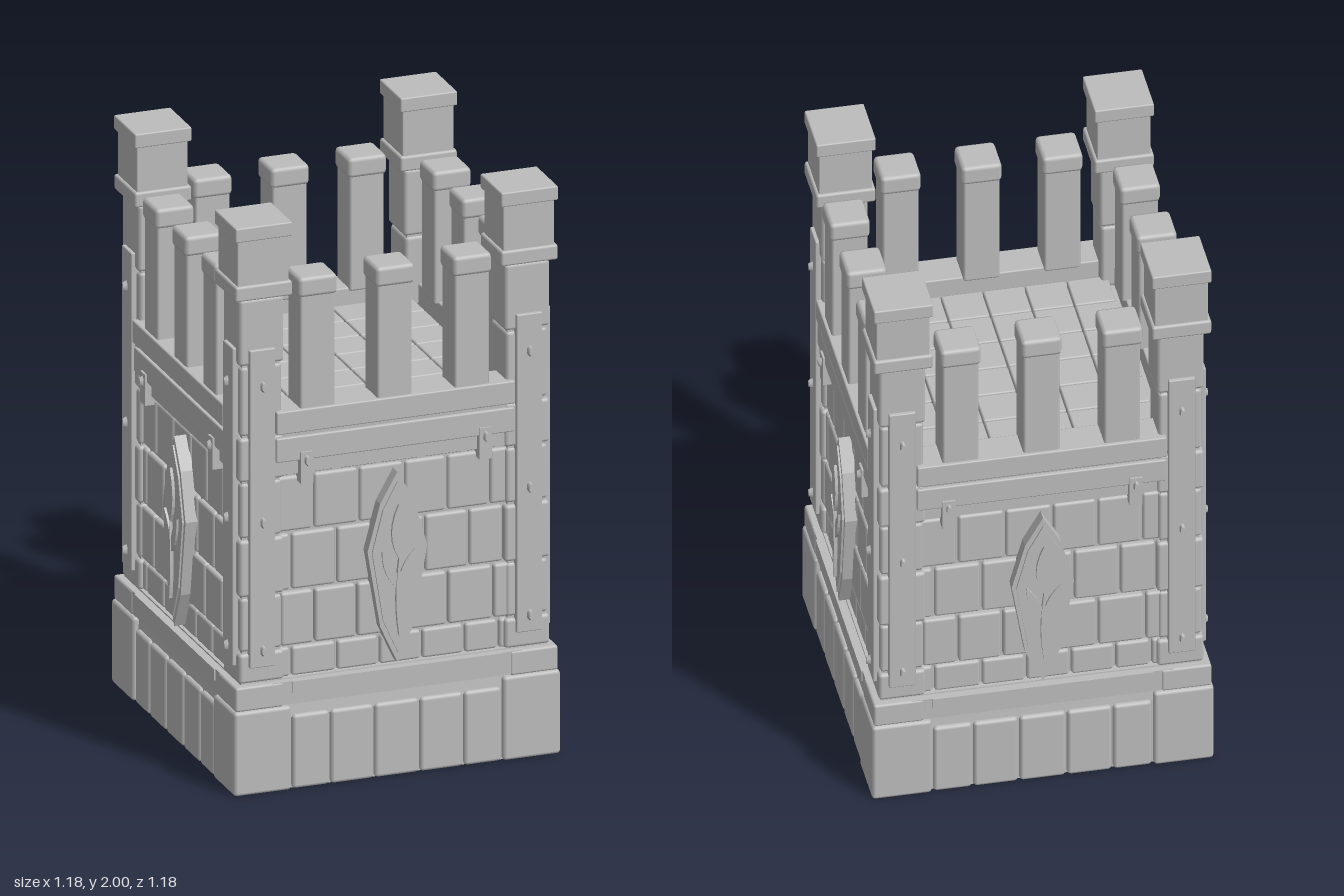
import * as THREE from 'three';
import { RoundedBoxGeometry } from 'three/addons/geometries/RoundedBoxGeometry.js';

const stone = new THREE.MeshStandardMaterial({ color: 0xbdbdbd });
stone.name = 'grey stone';

function add(parent, name, geometry, x = 0, y = 0, z = 0) {
  const mesh = new THREE.Mesh(geometry, stone);
  mesh.name = name;
  mesh.position.set(x, y, z);
  parent.add(mesh);
  return mesh;
}

// Box given by its limits; bevel > 0 softens the edges
function block(parent, name, [x0, x1], [y0, y1], [z0, z1], bevel = 0) {
  const size = [x1 - x0, y1 - y0, z1 - z0];
  const geometry = bevel ? new RoundedBoxGeometry(...size, 1, bevel) : new THREE.BoxGeometry(...size);
  return add(parent, name, geometry, (x0 + x1) / 2, (y0 + y1) / 2, (z0 + z1) / 2);
}

// Square block whose upper edge is narrower than its foot
function taperedBlock(parent, name, foot, head, y0, y1) {
  const geometry = new THREE.CylinderGeometry(head * Math.SQRT2, foot * Math.SQRT2, y1 - y0, 4, 1).toNonIndexed();
  geometry.rotateY(Math.PI / 4);
  geometry.computeVertexNormals();
  return add(parent, name, geometry, 0, (y0 + y1) / 2, 0);
}

function plate(points, depth) {
  const shape = new THREE.Shape(points.map(([x, y]) => new THREE.Vector2(x, y)));
  return new THREE.ExtrudeGeometry(shape, { depth, bevelEnabled: false });
}

// Curved pointed leaf running up from the origin
function leafGeometry(length, width, depth) {
  const s = new THREE.Shape();
  s.moveTo(0, 0);
  s.quadraticCurveTo(width, length * 0.45, 0, length);
  s.quadraticCurveTo(-width, length * 0.45, 0, 0);
  return new THREE.ExtrudeGeometry(s, { depth, bevelEnabled: false, curveSegments: 6 });
}

function rivet(parent, x, y, z) {
  const geometry = new THREE.CylinderGeometry(0.008, 0.012, 0.016, 6);
  geometry.rotateX(Math.PI / 2);
  geometry.scale(0.9, 1.8, 1);
  add(parent, 'rivet', geometry, x, y, z);
}

function createShield() {
  const shield = new THREE.Group();
  shield.name = 'shield';
  const half = [[0, 1.07], [0.06, 0.965], [0.105, 0.8], [0.06, 0.53], [0, 0.4]];
  const outline = half.concat(half.slice(1, -1).reverse().map(([x, y]) => [-x, y])).reverse();
  add(shield, 'shieldRim', plate(outline, 0.045), 0, 0, 0.525);
  const inner = outline.map(([x, y]) => [x * 0.86, 0.76 + (y - 0.76) * 0.9]);
  add(shield, 'shieldFace', plate(inner, 0.006), 0, 0, 0.57);
  // Leaf relief
  add(shield, 'middleLeaf', leafGeometry(0.19, 0.05, 0.012), 0, 0.77, 0.574);
  add(shield, 'stem', leafGeometry(0.27, 0.02, 0.014), 0, 0.5, 0.574);
  for (const s of [-1, 1]) {
    add(shield, 'sideLeaf', leafGeometry(0.15, 0.035, 0.01), 0, 0.66, 0.574).rotation.z = -s * 0.4;
  }
  return shield;
}

function createSide() {
  const side = new THREE.Group();
  side.name = 'side';

  // Row of foundation stones
  const feet = [-0.37, -0.235, -0.08, 0.08, 0.235, 0.37];
  for (let i = 0; i < 5; i++) {
    block(side, 'foundationStone', [feet[i] + 0.003, feet[i + 1] - 0.003], [0, 0.26], [0.45, 0.57], 0.012);
  }

  // Wall bricks, each course with its own joints
  const courses = [
    [0.38, 0.49, [-0.44, -0.36, -0.2, -0.05, 0.1, 0.25, 0.37, 0.44]],
    [0.49, 0.685, [-0.44, -0.4, -0.28, -0.13, 0.03, 0.19, 0.35, 0.44]],
    [0.685, 0.89, [-0.44, -0.36, -0.2, -0.05, 0.11, 0.265, 0.39, 0.44]],
    [0.89, 1.09, [-0.42, -0.28, -0.12, 0.04, 0.19, 0.34, 0.44]],
    [1.09, 1.2, [-0.44, -0.36, -0.2, -0.05, 0.1, 0.25, 0.37, 0.44]],
  ];
  for (const [y0, y1, joints] of courses) {
    for (let i = 0; i + 1 < joints.length; i++) {
      const out = 0.532 + 0.004 * ((i * 3 + Math.round(y0 * 10)) % 3 - 1);
      block(side, 'brick', [joints[i] + 0.004, joints[i + 1] - 0.004], [y0 + 0.004, y1 - 0.004], [0.47, out], 0.01);
    }
  }

  // Sill planks under the wall
  block(side, 'sill', [-0.44, 0.44], [0.3, 0.38], [0.5, 0.565]);
  block(side, 'sillStrip', [-0.37, 0.37], [0.34, 0.38], [0.5, 0.57]);

  // Beams along the top of the wall
  block(side, 'topBeam', [-0.42, 0.42], [1.25, 1.33], [0.44, 0.56], 0.005);
  block(side, 'beamGap', [-0.42, 0.42], [1.23, 1.25], [0.46, 0.543]);
  block(side, 'lowerBeam', [-0.42, 0.42], [1.15, 1.235], [0.46, 0.555], 0.005);
  block(side, 'beamShelf', [-0.42, 0.42], [1.1, 1.15], [0.46, 0.538]);

  for (const s of [-1, 1]) {
    // Upright planks beside the corners
    block(side, 'uprightPlank', [s * 0.47 - 0.045, s * 0.47 + 0.045], [0.44, 1.56], [0.5, 0.56], 0.004);
    for (const y of [0.5, 0.95, 1.43]) rivet(side, s * 0.47, y, 0.566);
    // Straps hanging from the beams
    block(side, 'strap', [s * 0.315 - 0.022, s * 0.315 + 0.022], [1.07, 1.18], [0.5, 0.562]);
    rivet(side, s * 0.315, 1.15, 0.566);
  }

  // Merlons
  for (const x of [-0.272, 0, 0.272]) {
    block(side, 'merlon', [x - 0.061, x + 0.061], [1.32, 1.74], [0.427, 0.549], 0.008);
    block(side, 'merlonCap', [x - 0.068, x + 0.068], [1.72, 1.79], [0.42, 0.556], 0.014);
  }

  side.add(createShield());
  return side;
}

function createCorner() {
  const corner = new THREE.Group();
  corner.name = 'cornerTower';
  const c = 0.468;
  const square = (name, half, y0, y1, bevel) =>
    block(corner, name, [c - half, c + half], [y0, y1], [c - half, c + half], bevel);
  block(corner, 'cornerFoundation', [0.373, 0.575], [0, 0.295], [0.373, 0.575], 0.012);
  block(corner, 'cornerLedge', [0.4, 0.568], [0.295, 0.38], [0.4, 0.568], 0.008);
  // Stacked pillar stones
  const levels = [0.38, 0.49, 0.685, 0.89, 1.09, 1.25, 1.5, 1.74];
  for (let i = 0; i + 1 < levels.length; i++) {
    square('pillarStone', i % 2 ? 0.073 : 0.079, levels[i] + 0.003, levels[i + 1] - 0.003, 0.012);
  }
  square('pillarCore', 0.066, 0.3, 1.8);
  // Head of the pillar
  square('collar', 0.1, 1.74, 1.793, 0.008);
  square('head', 0.09, 1.78, 1.96, 0.004);
  square('headLip', 0.1, 1.95, 2, 0.005);
  return corner;
}

export function createModel() {
  const tower = new THREE.Group();
  tower.name = 'tower';

  block(tower, 'foundationCore', [-0.552, 0.552], [0, 0.25], [-0.552, 0.552]);
  taperedBlock(tower, 'plinth', 0.556, 0.54, 0.25, 0.385);
  block(tower, 'wallCore', [-0.515, 0.515], [0.37, 1.25], [-0.515, 0.515]);

  // Paved roof floor
  const tile = 0.141;
  for (let i = 0; i < 6; i++) {
    for (let j = 0; j < 6; j++) {
      const x = (i - 2.5) * tile, z = (j - 2.5) * tile, h = tile / 2 - 0.002;
      block(tower, 'floorTile', [x - h, x + h], [1.23, 1.28], [z - h, z + h], 0.006);
    }
  }

  // Four equal sides and corners
  for (let k = 0; k < 4; k++) {
    for (const part of [createSide(), createCorner()]) {
      part.rotation.y = k * Math.PI / 2;
      tower.add(part);
    }
  }
  return tower;
}
